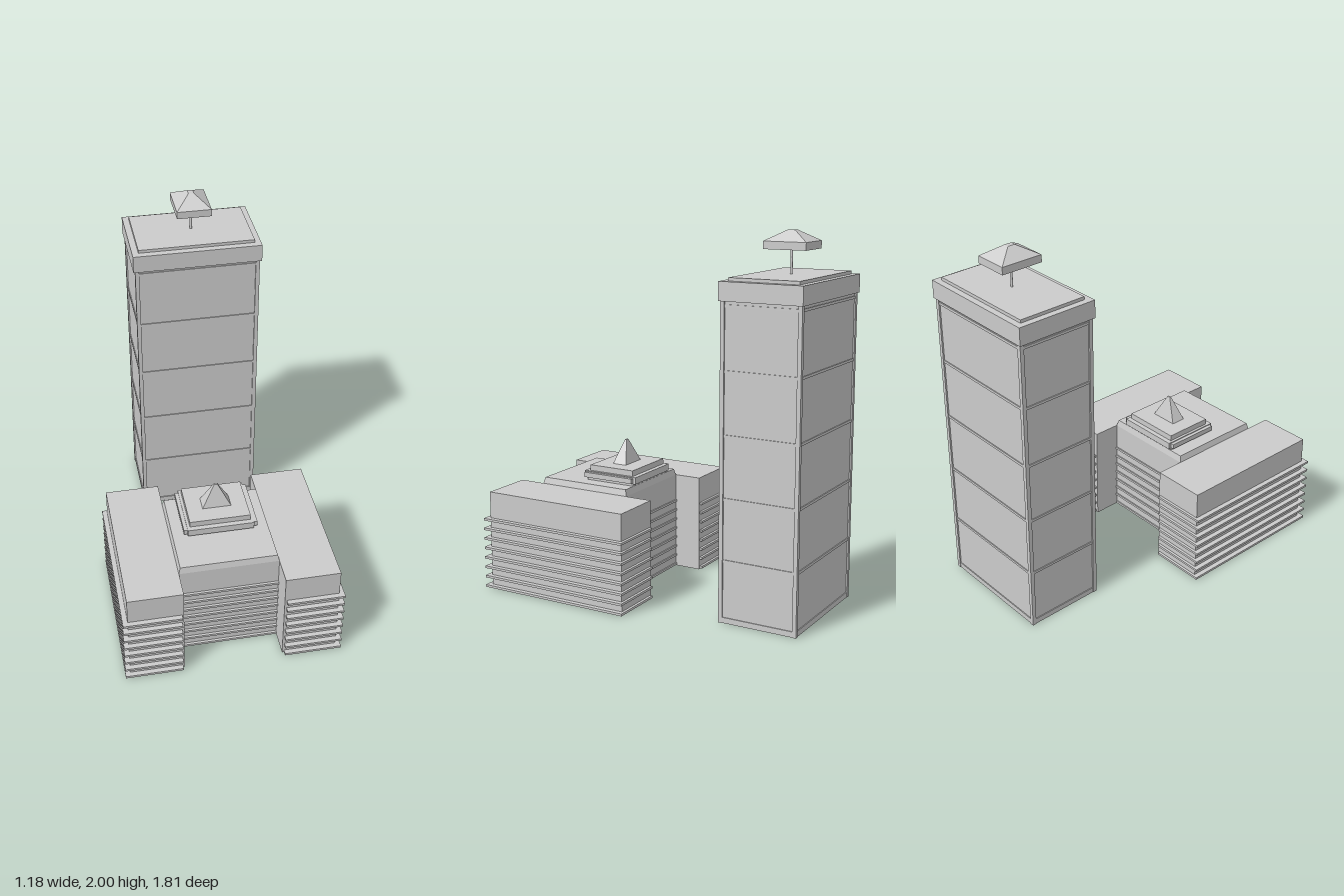
import * as THREE from 'three';

const material = new THREE.MeshStandardMaterial({ color: 0xcccccc, flatShading: true });

// Box given by its limits on each axis
function block(parent, name, [x0, x1], [y0, y1], [z0, z1]) {
  const mesh = new THREE.Mesh(new THREE.BoxGeometry(x1 - x0, y1 - y0, z1 - z0), material);
  mesh.position.set((x0 + x1) / 2, (y0 + y1) / 2, (z0 + z1) / 2);
  mesh.name = name;
  parent.add(mesh);
  return mesh;
}

// Box whose upper face is shrunk to topX by topZ
function taperedBlock(parent, name, xs, ys, zs, topX, topZ) {
  const mesh = block(parent, name, xs, ys, zs);
  const p = mesh.geometry.attributes.position;
  for (let i = 0; i < p.count; i++) {
    if (p.getY(i) > 0) {
      p.setX(i, Math.sign(p.getX(i)) * topX / 2);
      p.setZ(i, Math.sign(p.getZ(i)) * topZ / 2);
    }
  }
  mesh.geometry.computeVertexNormals();
  return mesh;
}

function group(name) {
  const g = new THREE.Group();
  g.name = name;
  return g;
}

const FLOORS = 8, FLOOR_HEIGHT = 0.055, LEDGE = 0.013;

function addLedges(parent, name, xs, zs) {
  for (let i = 0; i < FLOORS; i++) {
    const y = 0.004 + i * FLOOR_HEIGHT;
    block(parent, name, xs, [y, y + LEDGE], zs);
  }
}

function createTower() {
  const tower = group('tower');
  const x0 = -0.29, x1 = 0.4, z0 = -0.9, z1 = -0.46, top = 1.67;
  const post = 0.022, inset = 0.008;
  block(tower, 'towerCore', [x0 + inset, x1 - inset], [0, top], [z0 + inset, z1 - inset]);

  // Corner posts
  for (const x of [x0, x1 - post])
    for (const z of [z0, z1 - post])
      block(tower, 'cornerPost', [x, x + post], [0, top], [z, z + post]);

  // Thin bands dividing each side into five panels
  for (let i = 0; i <= 5; i++) {
    const y = i * 0.327;
    const h = i === 0 ? 0.03 : 0.014;
    block(tower, 'panelBand', [x0 + 0.003, x1 - 0.003], [y, y + h], [z0 + 0.003, z1 - 0.003]);
  }

  // Parapet and roof slab
  block(tower, 'parapet', [-0.3, 0.41], [1.665, 1.762], [-0.907, -0.452]);
  block(tower, 'roofSlab', [-0.265, 0.375], [1.762, 1.779], [-0.873, -0.49]);

  // Rooftop canopy on a mast
  const mast = new THREE.Mesh(new THREE.CylinderGeometry(0.006, 0.006, 0.14, 12), material);
  mast.position.set(0.055, 1.84, -0.68);
  mast.name = 'mast';
  tower.add(mast);
  block(tower, 'canopyBase', [-0.04, 0.15], [1.905, 1.945], [-0.8, -0.565]);
  taperedBlock(tower, 'canopyRoof', [-0.04, 0.15], [1.945, 2], [-0.8, -0.565], 0.03, 0.04);
  return tower;
}

function createWing(side) {
  const wing = group(side > 0 ? 'leftWing' : 'rightWing');
  const span = (a, b) => side > 0 ? [a, b] : [-b, -a];
  block(wing, 'wingBody', span(0.268, 0.563), [0, 0.55], [0.025, 0.88]);
  addLedges(wing, 'wingLedge', span(0.278, 0.59), [0.01, 0.907]);
  return wing;
}

function createCentre() {
  const centre = group('centreBlock');
  block(centre, 'centreBody', [-0.269, 0.269], [0, 0.55], [0.18, 0.732]);
  taperedBlock(centre, 'centreRoof', [-0.269, 0.269], [0.55, 0.585], [0.18, 0.732], 0.52, 0.535);
  addLedges(centre, 'centreLedge', [-0.269, 0.269], [0.173, 0.746]);

  // Stepped roof tiers
  block(centre, 'tierFoot', [-0.18, 0.18], [0.585, 0.602], [0.19, 0.49]);
  block(centre, 'lowerTier', [-0.2, 0.2], [0.602, 0.63], [0.19, 0.497]);
  block(centre, 'lowerTierRim', [-0.18, 0.18], [0.597, 0.635], [0.176, 0.508]);
  block(centre, 'upperTier', [-0.165, 0.165], [0.63, 0.667], [0.203, 0.48]);

  // Spire
  taperedBlock(centre, 'spire', [-0.078, 0.078], [0.667, 0.797], [0.302, 0.386], 0.018, 0.01);
  return centre;
}

export function createModel() {
  const model = group('buildings');
  model.add(createTower(), createWing(1), createWing(-1), createCentre());
  return model;
}
